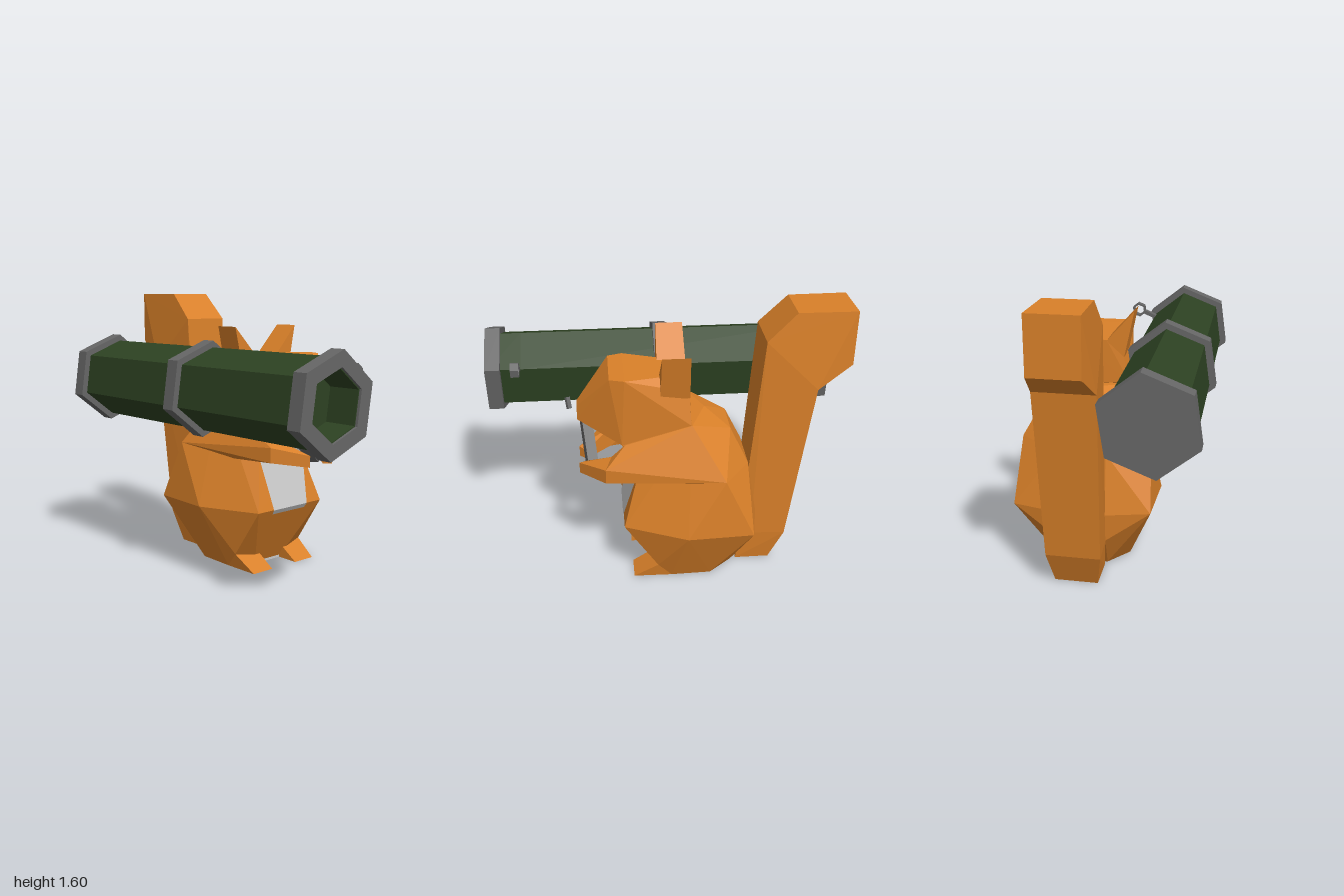
import * as THREE from 'three';
import { ConvexGeometry } from 'three/addons/geometries/ConvexGeometry.js';

const material = (color) => new THREE.MeshStandardMaterial({ color, flatShading: true });
const fur = material(0xd98029);
const green = material(0x2d4222);
const metal = material(0x666666);
const grey = new THREE.MeshStandardMaterial({ color: 0xcccccc, flatShading: true, side: THREE.DoubleSide });

const vec = (p) => new THREE.Vector3(...p);
const flip = (pts) => pts.map(([x, y, z]) => [-x, y, z]);
const both = (pts) => [...pts, ...flip(pts)];

function add(parent, name, geometry, mat) {
  const mesh = new THREE.Mesh(geometry, mat);
  mesh.name = name;
  parent.add(mesh);
  return mesh;
}
// Faceted solid spanned by a few corner points
const solid = (parent, name, pts) => add(parent, name, new ConvexGeometry(pts.map(vec)), fur);
function pair(parent, name, pts) {
  solid(parent, 'left' + name, pts);
  solid(parent, 'right' + name, flip(pts));
}

// Strip symmetric in x, from rows of [half width, y, z]
function strip(rows) {
  const pos = [];
  for (let i = 0; i < rows.length - 1; i++) {
    const [w, y, z] = rows[i], [w2, y2, z2] = rows[i + 1];
    pos.push(-w, y, z, w, y, z, w2, y2, z2, -w, y, z, w2, y2, z2, -w2, y2, z2);
  }
  const g = new THREE.BufferGeometry();
  g.setAttribute('position', new THREE.Float32BufferAttribute(pos, 3));
  g.computeVertexNormals();
  return g;
}

// Hexagonal ring along z, from z0 to z1
const TILT = 81.4 * Math.PI / 180;
function hexPoints(r) {
  return Array.from({ length: 6 }, (_, i) => {
    const a = TILT + i * Math.PI / 3;
    return new THREE.Vector2(r * Math.cos(a), r * Math.sin(a));
  });
}
function hexPrism(outer, inner, z0, z1) {
  const shape = new THREE.Shape(hexPoints(outer));
  if (inner) shape.holes.push(new THREE.Path(hexPoints(inner)));
  return new THREE.ExtrudeGeometry(shape, { depth: z1 - z0, bevelEnabled: false }).translate(0, 0, z0);
}

// Square bar between two points
function bar(parent, name, a, b, w, d) {
  const from = vec(a), to = vec(b);
  const mesh = add(parent, name, new THREE.BoxGeometry(w, from.distanceTo(to), d), metal);
  mesh.position.copy(from).add(to).multiplyScalar(0.5);
  mesh.quaternion.setFromUnitVectors(new THREE.Vector3(0, 1, 0), to.sub(from).normalize());
}

function buildAnimal() {
  const animal = new THREE.Group();
  animal.name = 'squirrel';
  animal.position.x = 0.14;

  // Torso: belly and haunches, then chest and shoulders
  solid(animal, 'body', both([
    [0.1, 0, 0.055], [0.245, 0, -0.02], [0.24, 0, -0.25], [0.13, 0, -0.385],
    [0.26, 0.09, 0.06], [0.25, 0.37, 0.25], [0.4, 0.37, -0.1], [0.385, 0.37, -0.47],
    [0.14, 0.365, -0.52], [0.14, 0.2, -0.5], [0.175, 0.655, 0.17], [0.365, 0.72, -0.305],
    [0.14, 0.7, -0.46], [0.11, 0.915, -0.355], [0.215, 1.0, -0.13],
  ]).concat([[0, 1.0, -0.22]]));
  solid(animal, 'chest', both([
    [0.175, 0.87, 0.25], [0.175, 0.655, 0.17], [0.215, 1.0, -0.13], [0.3, 0.72, -0.25], [0.11, 0.915, -0.34],
  ]));
  add(animal, 'belly', strip([
    [0.095, 0, 0.062], [0.09, 0.09, 0.066], [0.133, 0.37, 0.254], [0.172, 0.655, 0.175], [0.172, 0.87, 0.255],
  ]), grey);
  pair(animal, 'Foot', [
    [0.095, 0, 0.2], [0.24, 0, 0.2], [0.26, 0.09, 0.06], [0.095, 0.09, 0.06], [0.095, 0, 0], [0.245, 0, -0.02],
  ]);

  // Head with a blunt muzzle and splayed ears
  solid(animal, 'head', both([
    [0.033, 1.05, 0.49], [0.033, 0.965, 0.49], [0.15, 1.26, 0.31], [0.175, 1.26, 0.23],
    [0.175, 0.87, 0.25], [0.215, 1.0, -0.125], [0.08, 1.245, -0.12], [0.17, 1.18, -0.115],
  ]));
  pair(animal, 'Ear', [
    [0.235, 1.41, 0.035], [0.235, 1.41, -0.115], [0.08, 1.24, 0.04],
    [0.08, 1.24, -0.12], [0.18, 1.15, 0.04], [0.18, 1.15, -0.12],
  ]);

  // Arms: shoulder to elbow, elbow to hand
  const elbow = [[0.25, 0.675, 0.345], [0.25, 0.76, 0.345], [0.16, 0.79, 0.31], [0.16, 0.665, 0.31]];
  pair(animal, 'UpperArm', [
    ...elbow, [0.215, 1.0, -0.13], [0.365, 0.72, -0.305], [0.175, 0.875, 0.23], [0.25, 0.655, 0],
  ]);
  pair(animal, 'Forearm', [
    ...elbow, [0.055, 0.65, 0.45], [0.055, 0.705, 0.45], [0.088, 0.65, 0.49], [0.088, 0.715, 0.49],
  ]);

  // Upright tail with a curled tip
  const bend = both([[0.14, 1.44, -0.525], [0.165, 1.16, -0.815]]);
  solid(animal, 'tail', [...bend, ...both([
    [0.12, 0, -0.42], [0.12, 0, -0.62], [0.14, 0.2, -0.5], [0.15, 0.195, -0.7], [0.14, 0.4, -0.52],
  ])]);
  solid(animal, 'tailTip', [...bend, ...both([
    [0.13, 1.595, -0.68], [0.135, 1.595, -1], [0.135, 1.29, -1],
  ])]);
  return animal;
}

function buildLauncher() {
  const launcher = new THREE.Group();
  launcher.name = 'launcher';

  // Hexagonal barrel with an open bore at the front
  const barrel = new THREE.Group();
  barrel.name = 'barrel';
  barrel.position.set(-0.299, 1.074, 0);
  launcher.add(barrel);
  add(barrel, 'barrelBody', hexPrism(0.2305, 0, -0.9, 0.8), green);
  add(barrel, 'barrelMouth', hexPrism(0.2305, 0.177, 0.8, 0.985), green);
  add(barrel, 'frontRing', hexPrism(0.268, 0.183, 0.915, 1), metal);
  add(barrel, 'middleRing', hexPrism(0.268, 0.22, -0.045, 0.04), metal);
  add(barrel, 'rearCap', hexPrism(0.268, 0, -0.975, -0.89), metal);

  // Sight, grip and trigger
  const sight = add(launcher, 'sightRing', hexPrism(0.045, 0.034, 0.8, 0.845), metal);
  sight.position.set(0.017, 1.204, 0);
  bar(launcher, 'sightStem', [-0.09, 1.16, 0.822], [-0.02, 1.19, 0.822], 0.022, 0.04);
  bar(launcher, 'grip', [-0.11, 0.93, 0.46], [0.165, 0.68, 0.42], 0.055, 0.06);
  bar(launcher, 'trigger', [-0.1, 0.96, 0.55], [-0.07, 0.9, 0.54], 0.02, 0.025);
  return launcher;
}

export function createModel() {
  const model = new THREE.Group();
  model.name = 'squirrelWithLauncher';
  model.add(buildAnimal(), buildLauncher());
  return model;
}
